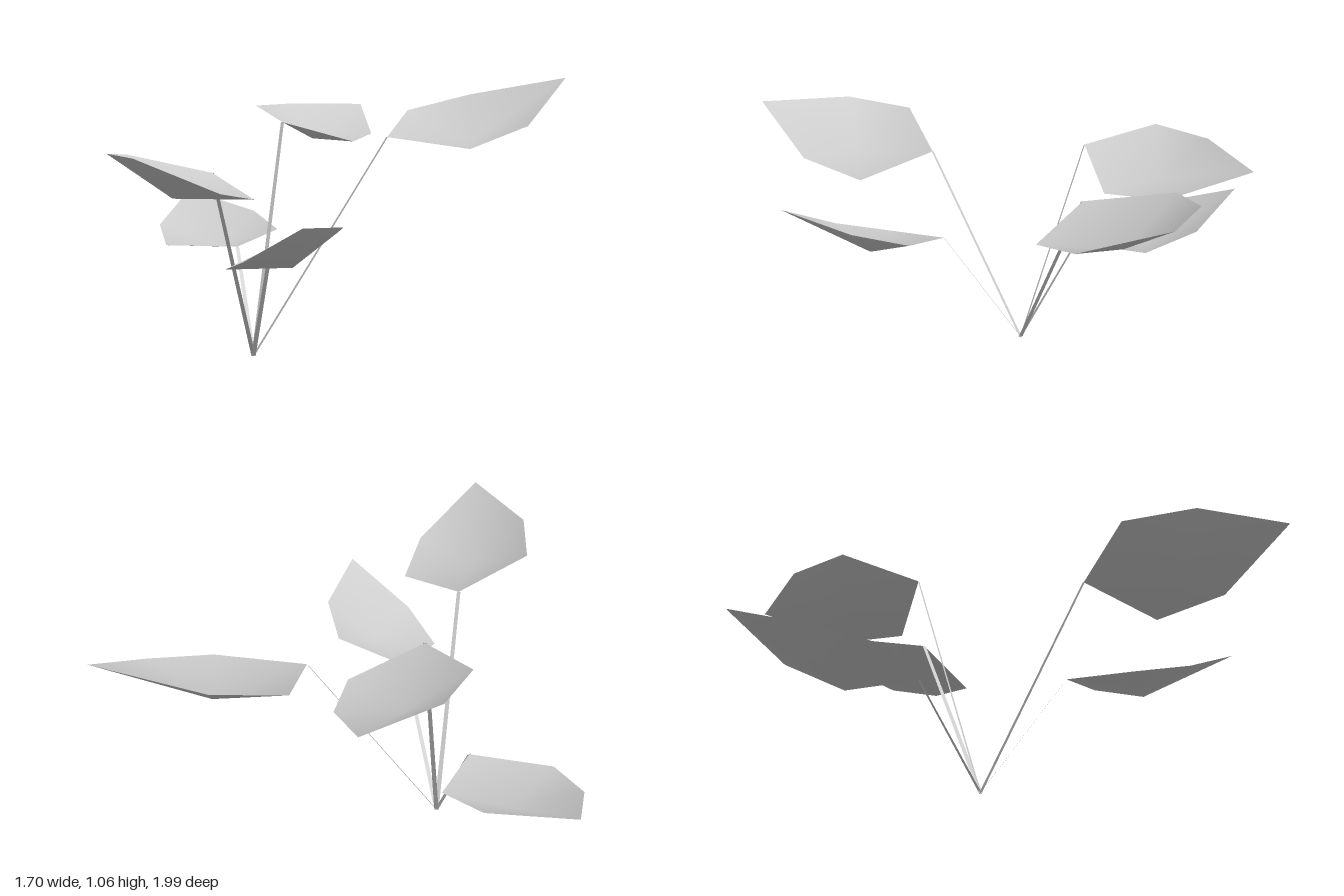
import * as THREE from 'three';

const ROOT = new THREE.Vector3(-0.4, 0, -0.11);

// Each leaf: sunken middle, then the rim counter-clockwise from above, starting at the stem
const LEAVES = [
  { name: 'backRightLeaf', middle: [-0.6, 0.355, -0.61], rim: [
    [-0.485, 0.4, -0.325], [-0.35, 0.43, -0.61], [-0.47, 0.48, -0.81],
    [-0.772, 0.55, -0.965], [-0.852, 0.44, -0.65], [-0.787, 0.39, -0.41]] },
  { name: 'backMiddleLeaf', middle: [-0.205, 0.808, -0.655], rim: [
    [-0.303, 0.9, -0.358], [-0.025, 0.815, -0.45], [0.04, 0.827, -0.68],
    [-0.02, 0.928, -0.995], [-0.315, 0.94, -0.83], [-0.438, 0.946, -0.627]] },
  { name: 'leftLeaf', middle: [0.45, 0.808, -0.54], rim: [
    [0.115, 0.84, -0.378], [0.445, 0.808, -0.235], [0.677, 0.886, -0.384],
    [0.847, 1.06, -0.71], [0.453, 0.984, -0.8], [0.19, 0.922, -0.717]] },
  { name: 'frontRightLeaf', middle: [-0.6, 0.712, 0.59], rim: [
    [-0.505, 0.766, 0.263], [-0.79, 0.845, 0.4], [-0.815, 0.875, 0.66],
    [-0.663, 0.894, 0.995], [-0.41, 0.752, 0.773], [-0.322, 0.702, 0.528]] },
  { name: 'frontMiddleLeaf', middle: [-0.193, 0.452, 0.472], rim: [
    [-0.298, 0.48, 0.192], [-0.44, 0.437, 0.436], [-0.353, 0.497, 0.64],
    [-0.13, 0.643, 0.81], [-0.01, 0.604, 0.51], [-0.04, 0.556, 0.293]] },
];

function surface(points, index) {
  const geometry = new THREE.BufferGeometry();
  geometry.setAttribute('position', new THREE.Float32BufferAttribute(points.flat(), 3));
  geometry.setIndex(index);
  geometry.computeVertexNormals();
  return geometry;
}

// Cupped blade: a fan around the sunken middle
function bladeGeometry(middle, rim) {
  const index = [];
  for (let i = 0; i < rim.length; i++) index.push(0, i + 1, ((i + 1) % rim.length) + 1);
  return surface([middle, ...rim], index);
}

// Flat ribbon from the root to the leaf, with its width kept horizontal
function stemGeometry(end) {
  const top = new THREE.Vector3(...end);
  const side = top.clone().sub(ROOT).setY(0).normalize();
  side.set(-side.z, 0, side.x);
  const edge = (p, w) => p.clone().addScaledVector(side, w).toArray();
  return surface(
    [edge(ROOT, -0.009), edge(ROOT, 0.009), edge(top, 0.007), edge(top, -0.007)],
    [0, 2, 1, 0, 3, 2]);
}

export function createModel() {
  const plant = new THREE.Group();
  plant.name = 'plant';
  const grey = new THREE.MeshStandardMaterial({ color: 0xcccccc, side: THREE.DoubleSide });
  grey.name = 'pale grey';

  for (const { name, middle, rim } of LEAVES) {
    const leaf = new THREE.Group();
    leaf.name = name;
    const blade = new THREE.Mesh(bladeGeometry(middle, rim), grey);
    blade.name = 'blade';
    const stem = new THREE.Mesh(stemGeometry(rim[0]), grey);
    stem.name = 'stem';
    leaf.add(blade, stem);
    plant.add(leaf);
  }
  return plant;
}
